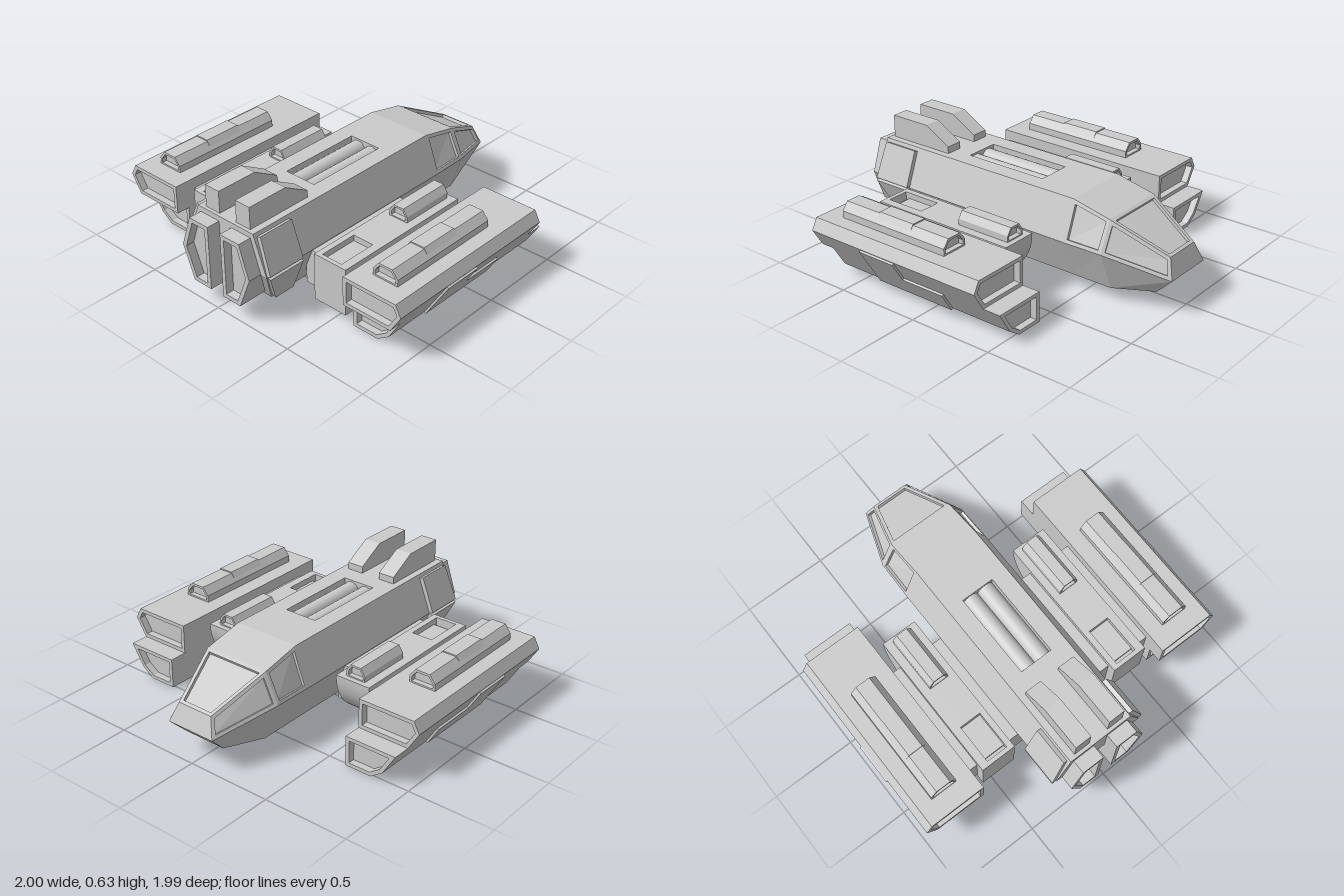
import * as THREE from 'three';
import { toCreasedNormals } from 'three/addons/utils/BufferGeometryUtils.js';

const V = (x, y, z) => new THREE.Vector3(x, y, z);
const mirror = loop => loop.map(p => V(p.x, p.y, -p.z)).reverse();

// Newell normal of a loop of corners
function loopNormal(loop) {
  const n = V(0, 0, 0);
  loop.forEach((p, i) => n.add(p.clone().cross(loop[(i + 1) % loop.length])));
  return n.normalize();
}

// Collects flat polygons into one geometry
class Faces {
  constructor() { this.pos = []; }
  fan(loop) {
    for (let i = 1; i < loop.length - 1; i++)
      for (const p of [loop[0], loop[i], loop[i + 1]]) this.pos.push(p.x, p.y, p.z);
  }
  band(a, b) {
    a.forEach((p, i) => {
      const j = (i + 1) % a.length;
      this.fan([p, a[j], b[j], b[i]]);
    });
  }
  // Flat face, or a frame around a sunken panel
  face(loop, inset = 0, depth = 0, hole = null) {
    if (!inset && !hole) return this.fan(loop);
    const n = loopNormal(loop), k = loop.length;
    const inner = hole || loop.map((p, i) => {
      const a = n.clone().cross(p.clone().sub(loop[(i + k - 1) % k])).normalize();
      const b = n.clone().cross(loop[(i + 1) % k].clone().sub(p)).normalize();
      return p.clone().addScaledVector(a.clone().add(b), inset / (1 + a.dot(b)));
    });
    const floor = inner.map(p => p.clone().addScaledVector(n, -depth));
    this.band(loop, inner);
    this.band(inner, floor);
    this.fan(floor);
  }
  loft(base, top, inset, depth) {
    this.band(base, top);
    this.face(top, inset, depth);
    this.face([...base].reverse(), inset, depth);
    return this;
  }
  geometry() {
    const g = new THREE.BufferGeometry();
    g.setAttribute('position', new THREE.Float32BufferAttribute(this.pos, 3));
    g.computeVertexNormals();
    return g;
  }
}

// Prism along x from a (z, y) profile, with optional sunken ends
function prism(profile, x0, x1, inset, depth) {
  let area = 0;
  profile.forEach(([z, y], i) => {
    const [z2, y2] = profile[(i + 1) % profile.length];
    area += z * y2 - z2 * y;
  });
  const p = area > 0 ? [...profile].reverse() : profile;
  const at = x => p.map(([z, y]) => V(x, y, z));
  return new Faces().loft(at(x0), at(x1), inset, depth).geometry();
}

// Thin plate lying on a surface
function plate(loop, thick) {
  const n = loopNormal(loop);
  const shift = d => loop.map(p => p.clone().addScaledVector(n, d));
  return new Faces().loft(shift(-0.01), shift(thick)).geometry();
}

const ridge = (z, y, w, h) => [[z - w, y], [z - w, y + h * 0.5], [z - w * 0.55, y + h],
  [z + w * 0.55, y + h], [z + w, y + h * 0.5], [z + w, y]];

function hullGeometry() {
  const f = new Faces();
  // Stations from tail to nose: top, widest and bottom corners
  const st = [
    [V(-0.92, 0.51, 0.2), V(-0.92, 0.29, 0.285), V(-0.81, 0.07, 0.2)],
    [V(0.41, 0.51, 0.2), V(0.41, 0.29, 0.285), V(0.41, 0.07, 0.2)],
    [V(0.645, 0.46, 0.2), V(0.645, 0.29, 0.28), V(0.66, 0.07, 0.2)],
    [V(0.96, 0.31, 0.11), V(1, 0.2, 0.15), V(0.9, 0.1, 0.13)],
  ];
  const neg = p => V(p.x, p.y, -p.z);
  const across = (a, b) => [a, b, neg(b), neg(a)];
  for (let i = 0; i < 3; i++) {
    const [t0, m0, b0] = st[i], [t1, m1, b1] = st[i + 1];
    const upper = [m0, m1, t1, t0], lower = [b0, b1, m1, m0];
    for (const side of [l => l, mirror]) {
      f.face(side(upper), i ? 0.02 : 0, 0.018); // side windows
      f.face(side(lower));
    }
    // Roof: bay, plain, windshield
    const bay = [V(-0.38, 0.51, 0.1), V(0.13, 0.51, 0.1), V(0.13, 0.51, -0.1), V(-0.38, 0.51, -0.1)];
    if (i === 0) f.face(across(t0, t1), 0, 0.07, bay);
    else f.face(across(t0, t1), i === 2 ? 0.02 : 0, 0.018);
    f.face(across(b1, b0));
  }
  for (let r = 0; r < 2; r++) {
    f.face(across(st[3][r], st[3][r + 1]));
    f.face(across(st[0][r + 1], st[0][r]));
  }
  return f.geometry();
}

// Inner nacelle slab, side profile with a rounded front underside
function nacelleSlab(z0, z1, notched) {
  const s = new THREE.Shape();
  s.moveTo(-0.64, 0.04);
  s.lineTo(0.02, 0.04);
  s.bezierCurveTo(0.14, 0.06, 0.255, 0.16, 0.255, 0.32);
  if (notched) for (const [x, y] of [[-0.38, 0.32], [-0.38, 0.27], [-0.615, 0.27], [-0.615, 0.32]]) s.lineTo(x, y);
  s.lineTo(-0.64, 0.32);
  s.closePath();
  const g = new THREE.ExtrudeGeometry(s, { depth: z1 - z0, bevelEnabled: false, curveSegments: 16 });
  return toCreasedNormals(g.translate(0, 0, z0), 0.5);
}

export function createModel() {
  const model = new THREE.Group();
  const mat = new THREE.MeshStandardMaterial({ color: 0xcccccc });
  const add = (name, geo) => {
    const m = new THREE.Mesh(geo, mat);
    m.name = name;
    model.add(m);
  };
  // Adds a part at +z and its mirror image at -z
  const pair = (name, geo) => {
    add(name + 'Left', geo);
    const g = geo.index ? geo.toNonIndexed() : geo.clone();
    for (const key of ['position', 'normal']) {
      const a = g.attributes[key];
      for (let i = 0; i < a.count; i += 3) {
        const v = [0, 2, 1].map(k => [a.getX(i + k), a.getY(i + k), -a.getZ(i + k)]);
        v.forEach((c, k) => a.setXYZ(i + k, ...c));
      }
    }
    add(name + 'Right', g);
  };

  add('hull', hullGeometry());

  // Twin cylinders lying in the roof bay
  pair('roofCylinder', new THREE.CylinderGeometry(0.05, 0.05, 0.51, 24)
    .rotateZ(Math.PI / 2).translate(-0.125, 0.45, 0.05));

  // Tail fins
  const fin = z => [[-0.9, 0.5], [-0.49, 0.5], [-0.49, 0.55], [-0.65, 0.64], [-0.9, 0.64]].map(([x, y]) => V(x, y, z));
  pair('tailFin', new Faces().loft(fin(0.06), fin(0.16)).geometry());

  // Engine nozzles and armour plates at the tail
  pair('engineNozzle', prism([[0.045, 0.48], [0.18, 0.48], [0.245, 0.29], [0.17, 0.1], [0.045, 0.1]], -1, -0.8, 0.025, 0.05));
  pair('rearPlateUpper', plate([V(-0.915, 0.29, 0.285), V(-0.68, 0.29, 0.285), V(-0.68, 0.49, 0.208), V(-0.9, 0.49, 0.208)], 0.025));
  pair('rearPlateLower', plate([V(-0.81, 0.09, 0.208), V(-0.68, 0.09, 0.208), V(-0.68, 0.29, 0.285), V(-0.915, 0.29, 0.285)], 0.025));

  // Wing spar from hull to outer pod
  pair('wingSpar', new THREE.BoxGeometry(0.69, 0.215, 0.4).translate(-0.245, 0.178, 0.44));

  // Inner nacelle with a sunken tray and a ridge on top
  pair('nacelleInner', nacelleSlab(0.345, 0.38, false));
  pair('nacelleCentre', nacelleSlab(0.38, 0.51, true));
  pair('nacelleOuter', nacelleSlab(0.51, 0.56, false));
  pair('nacelleRidge', prism(ridge(0.45, 0.315, 0.06, 0.08), -0.11, 0.225, 0.012, 0.03));

  // Outer pod: upper and lower bodies, roof ridge with hatch, stepped side plate
  pair('podUpper', prism([[0.615, 0.35], [0.955, 0.35], [0.99, 0.285], [0.925, 0.18], [0.615, 0.18]], -0.72, 0.41, 0.022, 0.04));
  pair('podLower', prism([[0.615, 0.18], [0.925, 0.18], [0.848, 0.055], [0.775, 0.005], [0.615, 0.005]], -0.64, 0.515, 0.022, 0.04));
  pair('podRidge', prism(ridge(0.79, 0.345, 0.08, 0.09), -0.605, 0.11, 0.014, 0.03));
  pair('podHatch', prism([[0.725, 0.41], [0.747, 0.442], [0.833, 0.442], [0.855, 0.41]], -0.365, -0.13));
  const onSlope = ([x, y]) => V(x, y, 0.848 + (y - 0.055) * 0.617);
  pair('podSidePlate', plate([[-0.13, 0.165], [-0.13, 0.28], [-0.365, 0.28], [-0.365, 0.055], [0.14, 0.055], [0.14, 0.165]].map(onSlope), 0.012));

  return model;
}
